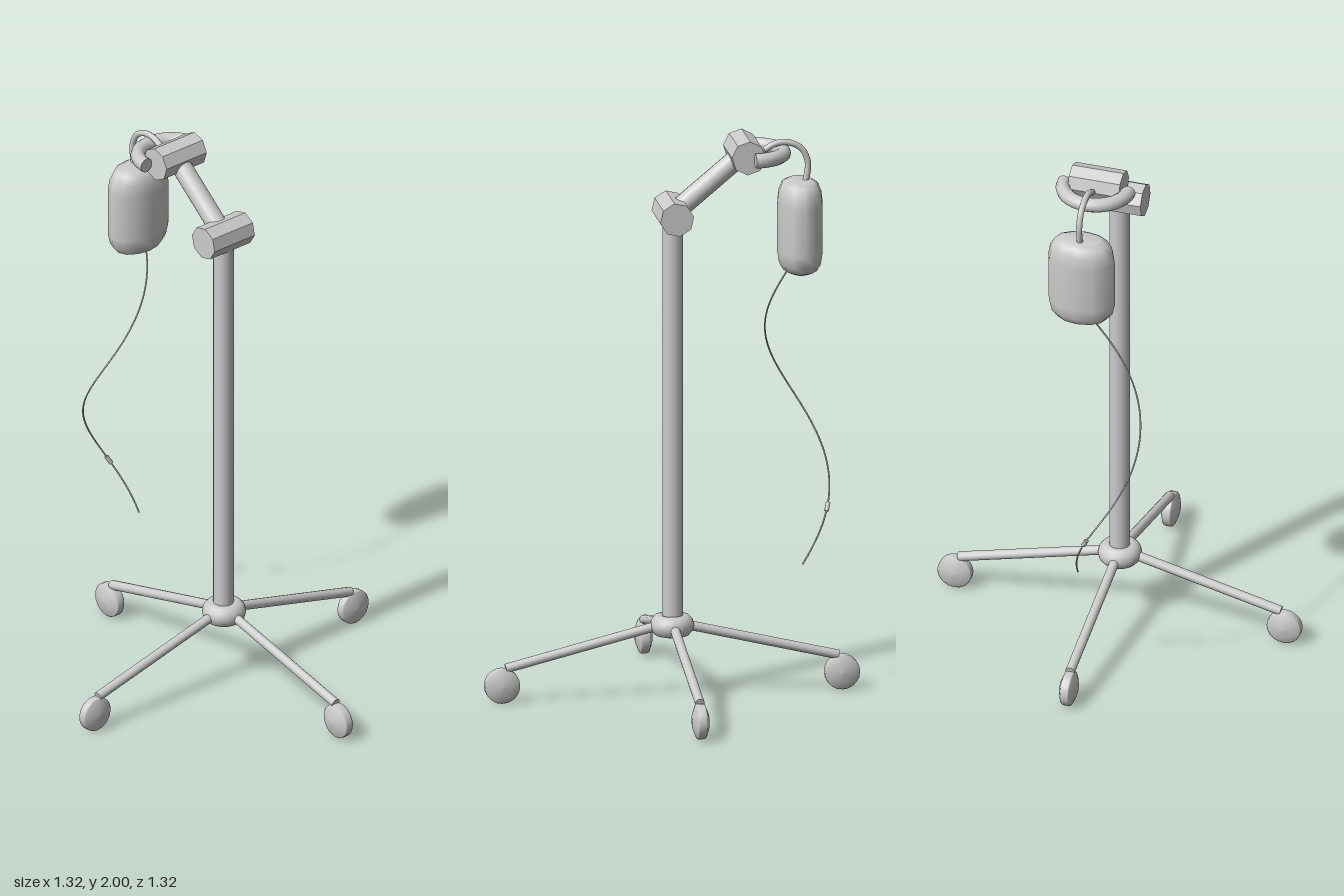
import * as THREE from 'three';

const material = new THREE.MeshStandardMaterial({ color: 0xcccccc });
const faceted = new THREE.MeshStandardMaterial({ color: 0xcccccc, flatShading: true });
const V = (x, y, z) => new THREE.Vector3(x, y, z);

function part(name, geometry, parent, mat = material) {
  const mesh = new THREE.Mesh(geometry, mat);
  mesh.name = name;
  parent.add(mesh);
  return mesh;
}

// Round bar between two points
function rod(name, a, b, radius, parent, sides = 16) {
  const mesh = part(name, new THREE.CylinderGeometry(radius, radius, a.distanceTo(b), sides), parent);
  mesh.position.lerpVectors(a, b, 0.5);
  mesh.quaternion.setFromUnitVectors(V(0, 1, 0), b.clone().sub(a).normalize());
  return mesh;
}

// Eight-sided pivot block lying along x
function pivot(name, centre, tilt, parent) {
  const geometry = new THREE.CylinderGeometry(0.06, 0.06, 0.186, 8).rotateZ(Math.PI / 2).rotateX(tilt);
  part(name, geometry, parent, faceted).position.copy(centre);
}

// Leg with a bulging disc foot, pointing along +x
function makeLeg() {
  const leg = new THREE.Group();
  leg.name = 'leg';
  rod('legBar', V(0, 0.267, 0), V(0.585, 0.124, 0), 0.017, leg, 12);
  const profile = [[0, -0.03], [0.03, -0.027], [0.058, -0.016], [0.062, -0.012],
    [0.062, 0.012], [0.058, 0.016], [0.03, 0.027], [0, 0.03]];
  const disc = new THREE.LatheGeometry(profile.map(p => new THREE.Vector2(...p)), 20).rotateX(Math.PI / 2);
  part('foot', disc, leg).position.set(0.598, 0.063, 0);
  return leg;
}

// Cord hanging in a loose spiral
class Spiral extends THREE.Curve {
  getPoint(t, target = new THREE.Vector3()) {
    const y = 1.53 - t * 1.075;
    const angle = (1.595 - y) / 1.14 * Math.PI * 2;
    return target.set(-0.1 + 0.111 * Math.cos(angle), y, -0.457 + 0.112 * Math.sin(angle));
  }
}

export function createModel() {
  const model = new THREE.Group();
  model.name = 'stand';

  // Base: four legs around a ring hub
  for (let i = 0; i < 4; i++) {
    const leg = makeLeg();
    leg.rotation.y = i * Math.PI / 2;
    model.add(leg);
  }
  const hub = part('hub', new THREE.TorusGeometry(0.043, 0.034, 12, 24).rotateX(Math.PI / 2), model);
  hub.position.y = 0.256;
  hub.scale.y = 1.12;

  // Pole, bent arm and pivots
  const elbow = V(0, 1.73, -0.003), head = V(0, 1.94, -0.255);
  rod('pole', V(0, 0.24, -0.003), elbow, 0.036, model);
  rod('arm', elbow, head, 0.036, model);
  pivot('elbowPivot', elbow, 0.16, model);
  pivot('headPivot', head, -0.08, model);

  // Half-ring handle with closed ends
  const handle = new THREE.Group();
  handle.name = 'handle';
  handle.position.set(0, 1.936, -0.275);
  part('handleRing', new THREE.TorusGeometry(0.116, 0.026, 10, 24, Math.PI).rotateX(-Math.PI / 2), handle);
  for (const side of [-1, 1]) {
    part('handleEnd', new THREE.CircleGeometry(0.026, 10), handle).position.x = side * 0.116;
  }
  model.add(handle);

  // Hook carrying the bag
  const hookPath = new THREE.CatmullRomCurve3([V(0, 1.945, -0.325), V(0, 1.966, -0.365), V(0, 1.968, -0.41),
    V(0, 1.945, -0.455), V(0, 1.9, -0.477), V(0, 1.85, -0.475), V(0, 1.8, -0.46)]);
  part('hook', new THREE.TubeGeometry(hookPath, 32, 0.011, 10), model);

  // Rounded oval bag
  const bagProfile = [[0, 1.495], [0.05, 1.5], [0.09, 1.514], [0.112, 1.54], [0.121, 1.58],
    [0.121, 1.75], [0.114, 1.79], [0.096, 1.82], [0.066, 1.832], [0, 1.833]];
  const bag = part('bag', new THREE.LatheGeometry(bagProfile.map(p => new THREE.Vector2(...p)), 12), model);
  bag.scale.z = 0.66;
  bag.position.z = -0.45;

  // Cord and its small clip
  const cord = new Spiral();
  part('cord', new THREE.TubeGeometry(cord, 80, 0.003, 6), model);
  const at = 0.824;
  const tangent = cord.getTangent(at).multiplyScalar(0.016);
  const middle = cord.getPoint(at);
  rod('cordClip', middle.clone().sub(tangent), middle.clone().add(tangent), 0.008, model, 8);

  return model;
}
